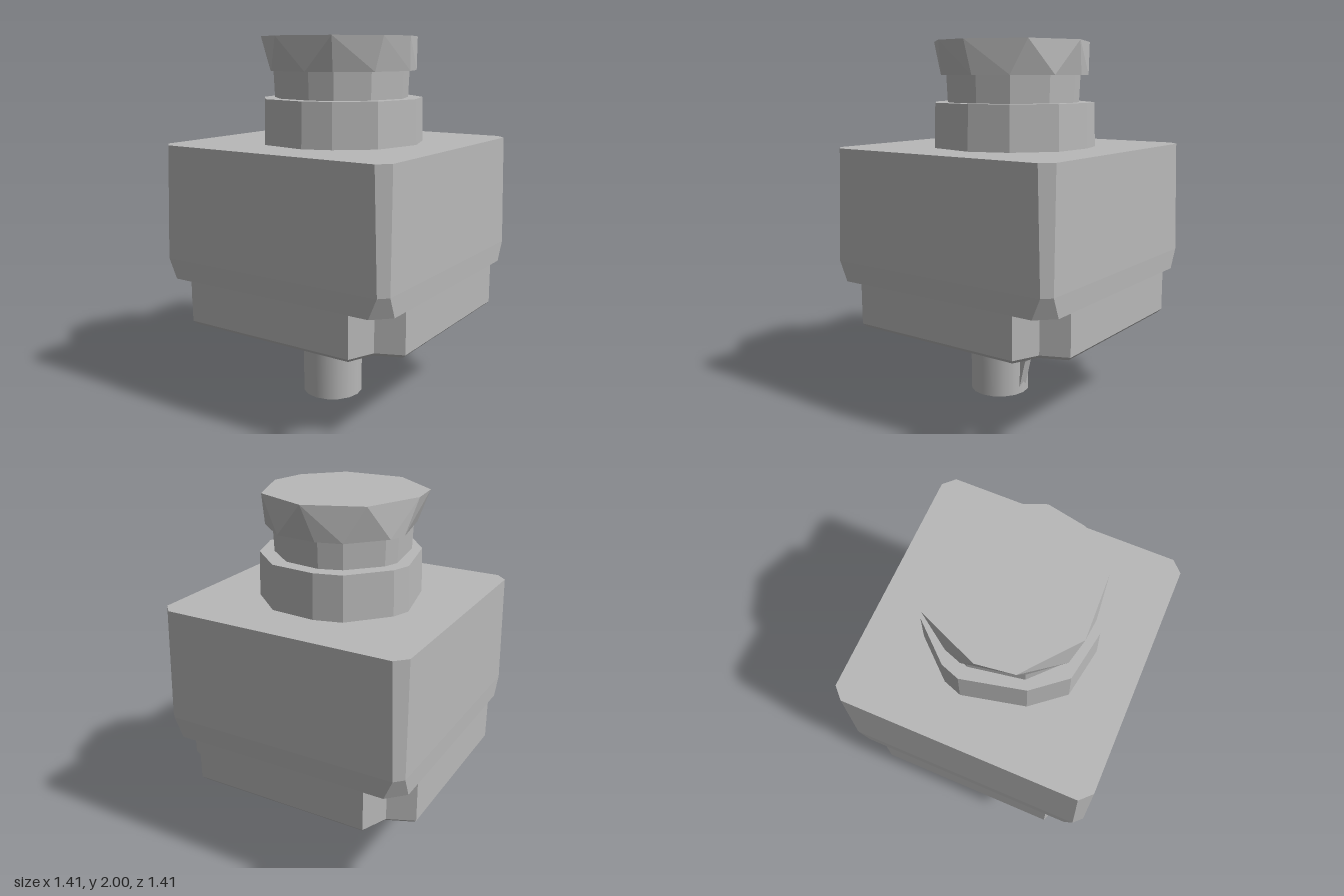
import * as THREE from 'three';
import { ConvexGeometry } from 'three/addons/geometries/ConvexGeometry.js';

const SHAFT_Z = 0.09;

// corner points of a square with chamfered corners at height y
const chamfered = (half, cut, y) => {
  const a = half - cut;
  return [[a, half], [half, a]].flatMap(([x, z]) =>
    [[1, 1], [1, -1], [-1, 1], [-1, -1]].map(([sx, sz]) => new THREE.Vector3(x * sx, y, z * sz)));
};

// outline points at height y, scaled about the axis
const ring = (outline, y, s = 1) => outline.map(([x, z]) => new THREE.Vector3(x * s, y, z * s));

// slab hanging down from height top, outline in x and z
const slab = (shape, top, options) =>
  new THREE.ExtrudeGeometry(shape, { bevelEnabled: false, curveSegments: 10, ...options })
    .rotateX(Math.PI / 2).translate(0, top, 0);

const circle = (Type, x, z, r) => new Type().absarc(x, z, r, 0, Math.PI * 2, false);

export function createModel() {
  const group = new THREE.Group();
  const gray = new THREE.MeshStandardMaterial({ color: 0xb8b8b8 });
  gray.name = 'gray';
  const add = (name, geometry) => {
    const mesh = new THREE.Mesh(geometry, gray);
    mesh.name = name;
    group.add(mesh);
    return mesh;
  };

  // square housing with chamfered upright edges
  add('housing', new ConvexGeometry([...chamfered(0.695, 0.06, 1.435), ...chamfered(0.703, 0.045, 0.82)]));
  add('housingSkirt', new ConvexGeometry([...chamfered(0.703, 0.045, 0.82), ...chamfered(0.7, 0.09, 0.71)]));

  // lower flange with a screw notch in each corner and a round recess
  const flange = new THREE.Shape();
  const notch = [[0.7, 0.5], [0.56, 0.56], [0.5, 0.7]];
  const flip = notch.slice().reverse();
  flange.setFromPoints([
    ...notch, ...flip.map(([x, z]) => [-x, z]),
    ...notch.map(([x, z]) => [-x, -z]), ...flip.map(([x, z]) => [x, -z]),
  ].map(([x, z]) => new THREE.Vector2(x, z)));
  flange.holes.push(circle(THREE.Path, 0, SHAFT_Z, 0.41));
  add('flange', slab(flange, 0.73, {
    depth: 0.24, bevelEnabled: true, bevelThickness: 0.02, bevelSize: 0.02, bevelOffset: -0.02, bevelSegments: 1,
  }));

  // recessed face with two pockets beside the shaft
  const face = circle(THREE.Shape, 0, SHAFT_Z, 0.43);
  for (const side of [-1, 1]) face.holes.push(circle(THREE.Path, side * 0.31, SHAFT_Z - 0.01, 0.085));
  add('recessFace', slab(face, 0.52, { depth: 0.055 }));
  add('pocketFloor', new THREE.CylinderGeometry(0.43, 0.43, 0.1, 20)).position.set(0, 0.57, SHAFT_Z);

  // shaft and the small fin on its back
  add('shaft', new THREE.CylinderGeometry(0.172, 0.168, 0.5, 16)).position.set(0, 0.25, SHAFT_Z);
  const fin = new THREE.Shape([[0.02, 0.03], [0.07, 0.03], [0.11, 0.2], [0.185, 0.33], [0.13, 0.36],
    [0.15, 0.46], [0.02, 0.46]].map(([x, y]) => new THREE.Vector2(x, y)));
  add('shaftFin', new THREE.ExtrudeGeometry(fin, { depth: 0.06, bevelEnabled: false })
    .translate(0, 0, -0.03).rotateY(Math.PI / 2));

  // faceted collar, neck and cap on top
  const collarOutline = [[0.18, -0.42], [0.375, -0.25], [0.448, -0.04], [0.38, 0.24], [0.2, 0.39], [0.05, 0.445],
    [-0.22, 0.4], [-0.36, 0.23], [-0.435, -0.1], [-0.4, -0.2], [-0.22, -0.4], [-0.07, -0.44]];
  const capOutline = [[0, -0.43], [0.3, -0.31], [0.425, 0], [0.385, 0.2], [0.2, 0.39], [-0.14, 0.405],
    [-0.405, 0.19], [-0.43, 0], [-0.3, -0.31]];
  const neckOutline = collarOutline.map(([x, z]) => {
    const k = 0.365 / Math.hypot(x, z);
    return [x * k, z * k];
  });
  add('collar', new ConvexGeometry([...ring(collarOutline, 1.43), ...ring(collarOutline, 1.675, 0.985)]));
  add('neck', new ConvexGeometry([...ring(neckOutline, 1.66), ...ring(neckOutline, 1.83, 1.02)]));
  add('cap', new ConvexGeometry([...ring(collarOutline, 1.82, 0.91), ...ring(capOutline, 2)]));

  return group;
}
